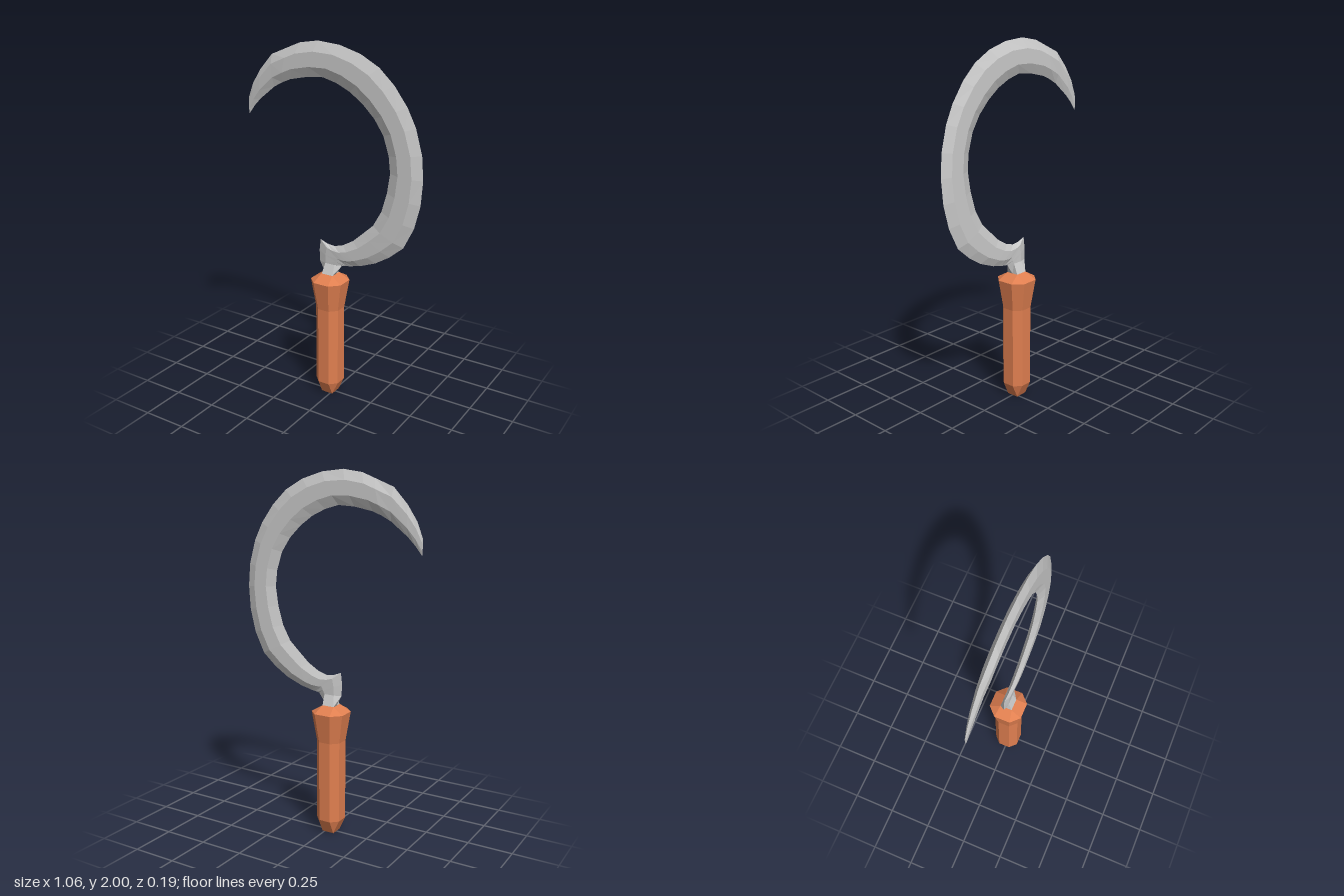
import * as THREE from 'three';

// Skin a list of equal-length point loops, with flat caps at both ends
function loft(loops) {
  const n = loops[0].length;
  const index = [];
  for (let i = 0; i < loops.length - 1; i++) {
    for (let j = 0; j < n; j++) {
      const a = i * n + j, b = i * n + (j + 1) % n;
      index.push(a, b, b + n, a, b + n, a + n);
    }
  }
  const end = (loops.length - 1) * n;
  for (let j = 1; j < n - 1; j++) {
    index.push(0, j + 1, j, end, end + j, end + j + 1);
  }
  const geometry = new THREE.BufferGeometry();
  geometry.setAttribute('position', new THREE.Float32BufferAttribute(loops.flat(2), 3));
  geometry.setIndex(index);
  const flat = geometry.toNonIndexed();
  flat.computeVertexNormals();
  return flat;
}

// Chamfered square ring: half width w, half length of each flat side f
function handleRing([y, w, f], cx) {
  return [[-w, f], [-f, w], [f, w], [w, f], [w, -f], [f, -w], [-f, -w], [-w, -f]]
    .map(([x, z]) => [cx + x, y, z]);
}

// Blade stations: inner edge x, y then outer edge x, y
const STATIONS = [
  [-.056, .74, .013, .74], [-.087, .80, .055, .80], [-.09, .865, .07, .803],
  [-.082, .93, .08, .805], [-.04, .913, .105, .808], [.008, .907, .13, .815],
  [.061, .923, .167, .823], [.124, .96, .262, .86], [.183, 1.013, .347, .913],
  [.246, 1.071, .426, .981], [.294, 1.156, .484, 1.098], [.325, 1.262, .516, 1.225],
  [.341, 1.368, .526, 1.357], [.331, 1.458, .516, 1.484], [.299, 1.558, .479, 1.616],
  [.246, 1.638, .431, 1.712], [.177, 1.706, .357, 1.812], [.103, 1.759, .272, 1.892],
  [.024, 1.796, .167, 1.95], [-.056, 1.818, .045, 1.987], [-.151, 1.812, -.082, 2],
  [-.257, 1.791, -.193, 1.984], [-.31, 1.77, -.267, 1.955], [-.362, 1.743, -.373, 1.913],
  [-.458, 1.669, -.452, 1.828], [-.5, 1.627, -.505, 1.749], [-.537, 1.58, -.537, 1.67],
];

// Six-sided blade section: two sharp edges and a pair of ridges on each face
function bladeSection([ix, iy, ox, oy], i) {
  const last = STATIONS.length - 1;
  const ridge = i === 0 ? 0 : 0.29;
  const half = i === 0 ? 0.035
    : Math.min(0.011 + i * 0.0012, 0.022, 0.004 + (last - i) * 0.0045);
  const at = (t, side) => {
    const y = iy + (oy - iy) * t;
    const lean = Math.max(0, y - 0.8) * 0.014; // slight tilt toward the front
    return [ix + (ox - ix) * t, y, lean + side * half];
  };
  return [at(0, 0), at(ridge, 1), at(1 - ridge, 1), at(1, 0), at(1 - ridge, -1), at(ridge, -1)];
}

export function createModel() {
  const group = new THREE.Group();
  const wood = new THREE.MeshStandardMaterial({ color: 0xe07f50, flatShading: true });
  const metal = new THREE.MeshStandardMaterial({ color: 0xcccccc, flatShading: true });

  // Handle: faceted grip flaring to a collar, narrowing to a square at both ends
  const rings = [
    [0, .035, .035], [.08, .072, .034], [.54, .072, .034],
    [.705, .097, .047], [.742, .035, .035],
  ];
  const handle = new THREE.Mesh(loft(rings.map((r) => handleRing(r, -.022))), wood);
  handle.name = 'handle';

  // Blade: tang and curved cutting crescent in one piece
  const blade = new THREE.Mesh(loft(STATIONS.map(bladeSection)), metal);
  blade.name = 'blade';

  group.add(handle, blade);
  return group;
}
